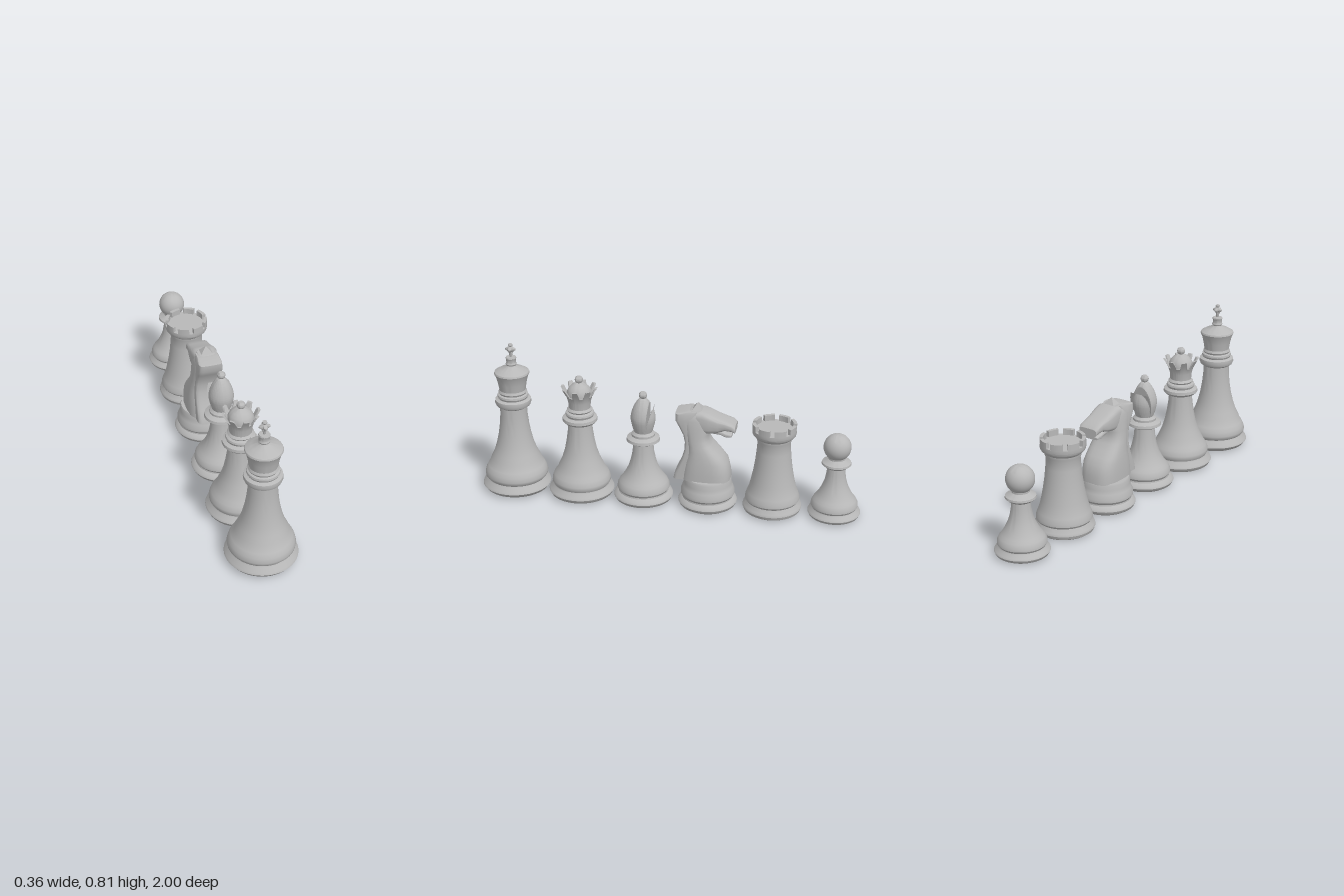
import * as THREE from 'three';
import { toCreasedNormals } from 'three/addons/utils/BufferGeometryUtils.js';

const grey = new THREE.MeshStandardMaterial({ color: 0xb8b8b8 });
grey.name = 'plain grey';

function add(parent, name, geo, crease = 0.6) {
  const m = new THREE.Mesh(toCreasedNormals(geo, crease), grey);
  m.name = name;
  parent.add(m);
  return m;
}

function piece(root, name, z) {
  const g = new THREE.Group();
  g.name = name;
  g.position.z = z;
  root.add(g);
  return g;
}

// Turned profile of [radius, height] pairs, bottom to top
const turned = (pts, seg = 48) => new THREE.LatheGeometry(pts.map(p => new THREE.Vector2(...p)), seg);

function ball(parent, name, r, y) {
  const g = new THREE.SphereGeometry(r, 32, 20);
  g.translate(0, y, 0);
  return add(parent, name, g, 1);
}

function reshape(geo, fn) {
  const p = geo.attributes.position, v = new THREE.Vector3();
  for (let i = 0; i < p.count; i++) {
    v.fromBufferAttribute(p, i);
    fn(v);
    p.setXYZ(i, v.x, v.y, v.z);
  }
  return geo;
}

// Rounded sections [t, lo, hi, halfWidth]; upright lofts travel up y, others travel along -z
function loft(rows, upright, power = 0.7, n = 28) {
  const pos = [], idx = [];
  const put = (x, u, t) => upright ? pos.push(x, t, u) : pos.push(x, u, t);
  const bend = c => Math.sign(c) * Math.abs(c) ** power;
  for (const [t, lo, hi, w] of rows)
    for (let j = 0; j < n; j++) {
      const a = j / n * Math.PI * 2;
      put(w * bend(Math.cos(a)), (lo + hi) / 2 + (hi - lo) / 2 * bend(Math.sin(a)), t);
    }
  const last = rows.length - 1, c0 = rows.length * n;
  for (const k of [0, last]) put(0, (rows[k][1] + rows[k][2]) / 2, rows[k][0]);
  for (let j = 0; j < n; j++) {
    const k = (j + 1) % n;
    for (let i = 0; i < last; i++) {
      const a = i * n + j, b = i * n + k;
      idx.push(a, a + n, b, b, a + n, b + n);
    }
    idx.push(c0, j, k, c0 + 1, last * n + k, last * n + j);
  }
  const g = new THREE.BufferGeometry();
  g.setAttribute('position', new THREE.Float32BufferAttribute(pos, 3));
  g.setIndex(idx);
  g.computeVertexNormals();
  return g;
}

function king(root) {
  const g = piece(root, 'king', 0.82);
  add(g, 'kingBody', turned([[0, 0], [0.145, 0], [0.165, 0.01], [0.18, 0.03], [0.176, 0.04], [0.157, 0.06],
    [0.154, 0.067], [0.164, 0.08], [0.166, 0.092], [0.16, 0.115], [0.148, 0.138], [0.141, 0.147], [0.13, 0.175],
    [0.113, 0.21], [0.098, 0.255], [0.086, 0.305], [0.077, 0.36], [0.071, 0.42], [0.07, 0.465], [0.088, 0.477],
    [0.094, 0.492], [0.092, 0.508], [0.075, 0.515], [0.08, 0.525], [0.078, 0.535], [0.069, 0.54], [0.074, 0.55],
    [0.068, 0.562], [0.074, 0.6], [0.082, 0.632], [0.091, 0.652], [0.088, 0.66], [0.06, 0.676], [0.03, 0.688],
    [0.025, 0.695], [0.029, 0.703], [0.025, 0.71], [0.025, 0.728], [0.028, 0.733], [0.025, 0.74], [0, 0.741]]));
  // Four-lobed finial
  const finial = turned([[0, 0.736], [0.006, 0.738], [0.009, 0.758], [0.014, 0.768], [0.028, 0.778],
    [0.028, 0.785], [0.012, 0.794], [0.009, 0.797], [0.012, 0.803], [0.01, 0.81], [0, 0.812]], 32);
  add(g, 'kingFinial', reshape(finial, v => {
    if (v.y < 0.76 || v.y > 0.79) return;
    const s = 0.78 + 0.22 * Math.cos(4 * Math.atan2(v.z, v.x));
    v.x *= s; v.z *= s;
  }));
}

function queen(root) {
  const g = piece(root, 'queen', 0.464);
  add(g, 'queenBody', turned([[0, 0], [0.145, 0], [0.163, 0.01], [0.172, 0.028], [0.168, 0.038], [0.148, 0.056],
    [0.146, 0.063], [0.154, 0.078], [0.153, 0.092], [0.143, 0.118], [0.13, 0.135], [0.116, 0.165], [0.098, 0.205],
    [0.084, 0.25], [0.073, 0.305], [0.065, 0.36], [0.062, 0.4], [0.08, 0.408], [0.091, 0.42], [0.089, 0.435],
    [0.07, 0.443], [0.075, 0.455], [0.072, 0.464], [0.06, 0.47], [0.066, 0.479], [0.056, 0.49], [0.058, 0.52]]));
  // Eight-pointed coronet
  const crown = turned([[0.056, 0.49], [0.059, 0.525], [0.067, 0.552], [0.08, 0.577], [0.095, 0.602],
    [0.084, 0.602], [0.072, 0.58], [0.062, 0.56]], 96);
  add(g, 'queenCoronet', reshape(crown, v => {
    if (v.y < 0.556) return;
    const a = Math.atan2(v.z, v.x), s = THREE.MathUtils.smoothstep(Math.cos(8 * a), -0.5, 0.4);
    v.y = THREE.MathUtils.lerp(0.558, v.y, s);
    const r = Math.hypot(v.x, v.z), k = THREE.MathUtils.lerp(Math.min(r, 0.071), r, s) / r;
    v.x *= k; v.z *= k;
  }));
  add(g, 'queenDome', turned([[0.064, 0.555], [0.064, 0.575], [0.056, 0.594], [0.042, 0.61], [0.024, 0.622],
    [0.012, 0.628], [0, 0.63]]));
  ball(g, 'queenBall', 0.021, 0.642);
}

function bishop(root) {
  const g = piece(root, 'bishop', 0.13);
  add(g, 'bishopBody', turned([[0, 0], [0.13, 0], [0.147, 0.01], [0.155, 0.026], [0.151, 0.036], [0.131, 0.05],
    [0.129, 0.057], [0.137, 0.07], [0.136, 0.084], [0.125, 0.106], [0.112, 0.122], [0.094, 0.15], [0.077, 0.185],
    [0.065, 0.225], [0.056, 0.27], [0.052, 0.318], [0.07, 0.326], [0.087, 0.336], [0.084, 0.35], [0.06, 0.361],
    [0.06, 0.372], [0.05, 0.38], [0.045, 0.386], [0, 0.387]]));
  // Mitre, cut in two by a steep wedge
  const curve = new THREE.SplineCurve([[0.046, 0.38], [0.058, 0.42], [0.064, 0.458], [0.058, 0.495],
    [0.044, 0.53], [0.026, 0.558], [0.014, 0.568]].map(p => new THREE.Vector2(...p)));
  const prof = curve.getPoints(40).map(p => [p.x, p.y]);
  const inner = y => -0.018 - (y - 0.385) * 0.1;
  const outer = y => inner(y) - Math.max(0, y - 0.395) * 0.17;
  add(g, 'bishopMitre', reshape(turned([...prof, [0, 0.569]], 64), v => {
    if (v.y > 0.395) v.z = Math.max(v.z, inner(v.y));
  }), 0.5);
  const flake = prof.filter(([r, y]) => r > -outer(y));
  add(g, 'bishopMitreFlap', reshape(turned(flake, 64), v => { v.z = Math.min(v.z, outer(v.y)); }), 0.5);
  ball(g, 'bishopBall', 0.021, 0.584);
}

function knight(root) {
  const g = piece(root, 'knight', -0.21);
  add(g, 'knightBase', turned([[0, 0], [0.13, 0], [0.146, 0.01], [0.153, 0.026], [0.149, 0.036], [0.132, 0.05],
    [0.131, 0.057], [0.14, 0.07], [0.14, 0.084], [0.13, 0.11], [0.123, 0.13], [0.123, 0.155], [0.118, 0.165],
    [0, 0.166]]));
  const horse = new THREE.Group();
  horse.name = 'knightHorse';
  horse.position.z = 0.21;
  g.add(horse);
  add(horse, 'knightNeck', loft([[0.16, -0.33, -0.075, 0.1], [0.2, -0.328, -0.08, 0.1], [0.257, -0.314, -0.09, 0.097],
    [0.29, -0.288, -0.1, 0.093], [0.32, -0.26, -0.105, 0.089], [0.35, -0.233, -0.105, 0.084], [0.375, -0.218, -0.1, 0.08],
    [0.407, -0.215, -0.095, 0.077], [0.45, -0.225, -0.08, 0.072], [0.485, -0.225, -0.07, 0.067],
    [0.515, -0.21, -0.08, 0.06], [0.535, -0.185, -0.12, 0.045]], true));
  // Squared mane along the back of the neck
  add(horse, 'knightMane', loft([[0.16, -0.14, -0.038, 0.072], [0.19, -0.14, -0.045, 0.072], [0.225, -0.15, -0.062, 0.072],
    [0.27, -0.16, -0.08, 0.072], [0.32, -0.17, -0.094, 0.071], [0.365, -0.17, -0.096, 0.069], [0.407, -0.16, -0.087, 0.067],
    [0.45, -0.15, -0.064, 0.066], [0.483, -0.15, -0.045, 0.065], [0.52, -0.16, -0.045, 0.062],
    [0.533, -0.16, -0.1, 0.055]], true, 0.35));
  add(horse, 'knightHead', loft([[-0.11, 0.44, 0.53, 0.055], [-0.185, 0.416, 0.537, 0.068], [-0.222, 0.418, 0.523, 0.067],
    [-0.265, 0.425, 0.504, 0.062], [-0.3, 0.44, 0.492, 0.058], [-0.335, 0.438, 0.48, 0.058],
    [-0.352, 0.428, 0.466, 0.052]], false, 0.5));
  add(horse, 'knightJaw', loft([[-0.24, 0.42, 0.455, 0.055], [-0.275, 0.416, 0.446, 0.052], [-0.305, 0.403, 0.432, 0.049],
    [-0.335, 0.405, 0.42, 0.044]], false, 0.5));
  // Peaked forelock
  const peak = new THREE.ConeGeometry(0.07, 0.058, 4);
  peak.rotateY(Math.PI / 4);
  peak.scale(1, 1, 0.85);
  peak.translate(0, 0.541, -0.155);
  add(horse, 'knightForelock', peak, 0.1);
}

function rook(root) {
  const g = piece(root, 'rook', -0.547);
  add(g, 'rookBody', turned([[0, 0], [0.13, 0], [0.146, 0.01], [0.152, 0.026], [0.149, 0.038], [0.135, 0.052],
    [0.133, 0.059], [0.14, 0.07], [0.139, 0.084], [0.13, 0.108], [0.122, 0.128], [0.112, 0.17], [0.102, 0.22],
    [0.093, 0.28], [0.087, 0.34], [0.084, 0.385], [0.089, 0.4], [0.09, 0.412], [0.1, 0.42], [0.11, 0.432],
    [0.112, 0.44], [0.112, 0.458], [0, 0.458]]));
  // Ring of eight battlements
  for (let i = 0; i < 8; i++) {
    const a = (i + 0.5) * Math.PI / 4, h = 0.28;
    const s = new THREE.Shape();
    s.absarc(0, 0, 0.112, a - h, a + h, false);
    s.absarc(0, 0, 0.094, a + h, a - h, true);
    const geo = new THREE.ExtrudeGeometry(s, { depth: 0.032, bevelEnabled: false, curveSegments: 6 });
    geo.rotateX(-Math.PI / 2);
    geo.translate(0, 0.456, 0);
    add(g, 'rookBattlement', geo);
  }
}

function pawn(root) {
  const g = piece(root, 'pawn', -0.866);
  add(g, 'pawnBody', turned([[0, 0], [0.112, 0], [0.128, 0.009], [0.135, 0.023], [0.131, 0.032], [0.115, 0.045],
    [0.113, 0.051], [0.12, 0.062], [0.119, 0.075], [0.109, 0.095], [0.098, 0.108], [0.083, 0.132], [0.067, 0.165],
    [0.055, 0.2], [0.048, 0.24], [0.045, 0.272], [0.06, 0.28], [0.075, 0.293], [0.073, 0.303], [0.052, 0.314],
    [0.043, 0.321], [0.043, 0.335], [0, 0.336]]));
  ball(g, 'pawnHead', 0.07, 0.385);
}

export function createModel() {
  const root = new THREE.Group();
  root.name = 'chessPieces';
  for (const make of [king, queen, bishop, knight, rook, pawn]) make(root);
  return root;
}
